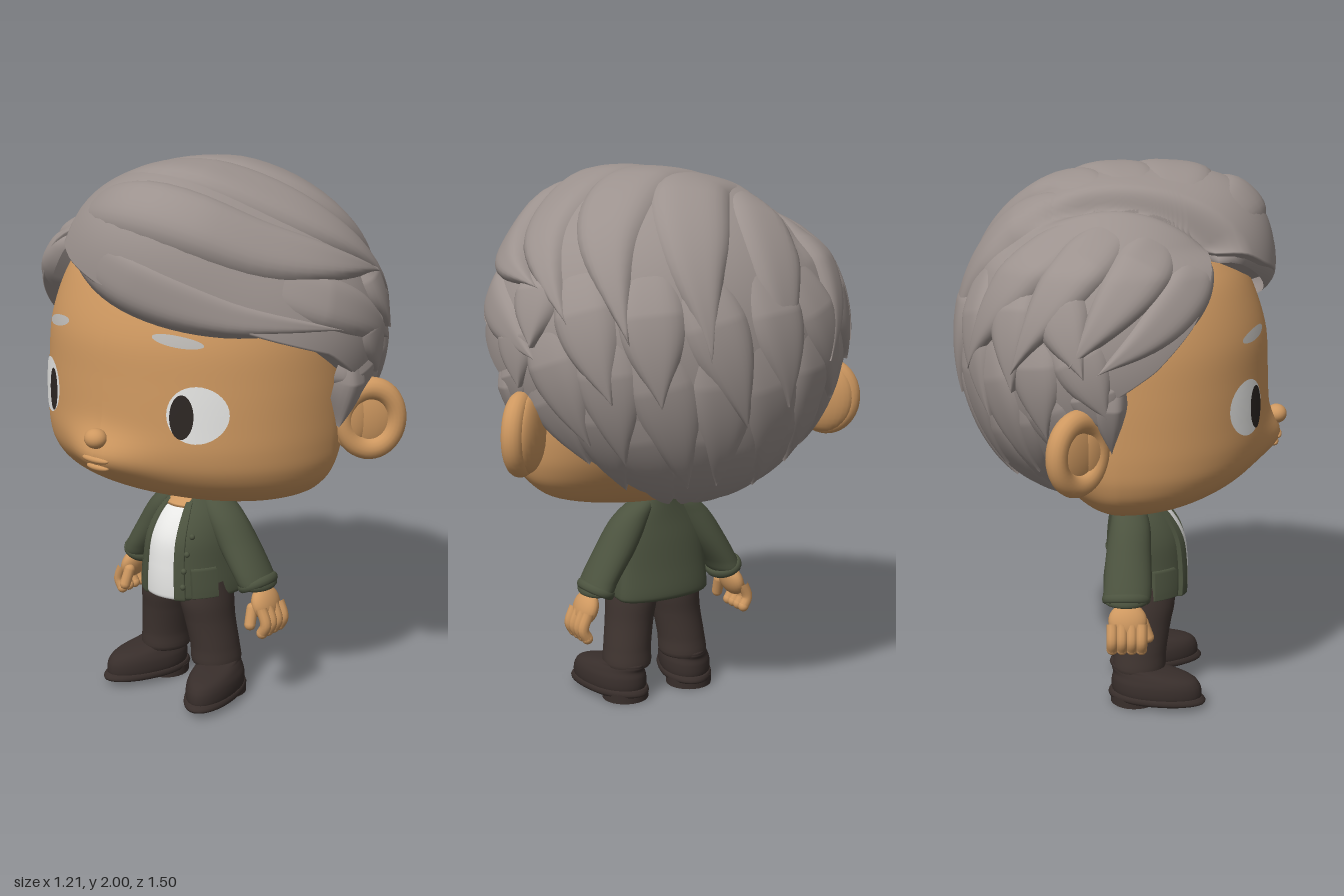
import * as THREE from 'three';
import { ParametricGeometry } from 'three/addons/geometries/ParametricGeometry.js';

const mat = (name, color, side = THREE.FrontSide) => {
  const m = new THREE.MeshStandardMaterial({ color, side });
  m.name = name;
  return m;
};
const skin = mat('skin', 0xce9860), hairMat = mat('grey hair', 0x9c928e, THREE.DoubleSide);
const green = mat('green jacket', 0x4c533f, THREE.DoubleSide), brown = mat('brown trousers', 0x3f3430);
const leather = mat('dark leather', 0x382e2b), white = mat('white', 0xe8e8e6, THREE.DoubleSide);
const dark = mat('dark pupil', 0x2d2724, THREE.DoubleSide), browMat = mat('brow grey', 0xbcb9b5, THREE.DoubleSide);

const rad = THREE.MathUtils.degToRad;
const step = THREE.MathUtils.smoothstep;

// Smooth stack of ovals; rows are [y, half width, front depth, back depth, centre x, centre z]
function stack(rows) {
  const values = rows.flatMap(r => [r[0], r[1], r[2], r[3], r[4] || 0, r[5] || 0]);
  const curve = new THREE.CubicInterpolant(rows.map((_, i) => i), values, 6);
  const row = v => curve.evaluate(v * (rows.length - 1));
  const point = (a, v, out = 0, target = new THREE.Vector3()) => {
    const [y, w, f, b, cx, cz] = row(v);
    const c = Math.cos(a);
    return target.set(cx + (w + out) * Math.sin(a), y, cz + c * ((c > 0 ? f : b) + out));
  };
  // Front depth at a given x and height
  const frontZ = (x, y) => {
    let lo = 0, hi = 1;
    for (let i = 0; i < 30; i++) {
      const m = (lo + hi) / 2;
      if (row(m)[0] < y) lo = m; else hi = m;
    }
    const r = row(lo);
    return r[2] * Math.sqrt(Math.max(0, 1 - (x / r[1]) ** 2));
  };
  const geometry = (n = 40, m = 30) =>
    new ParametricGeometry((u, v, t) => point(u * Math.PI * 2, v, 0, t), n, m);
  // Panel lying just outside the surface, with its rim sunk in
  const panel = (a0, a1, v0, v1, out) => new ParametricGeometry((u, v, t) => {
    const rim = Math.min(1, 12 * Math.min(u, 1 - u, v, 1 - v));
    return point(rad(a0 + (a1 - a0) * u), v0 + (v1 - v0) * v, out * (2 * rim - 1), t);
  }, 24, 24);
  return { geometry, frontZ, panel };
}

// Hair surface: an ellipsoid with a raised fringe, a parting groove and a full nape
const centre = new THREE.Vector3(0, 1.41, -0.03), radii = new THREE.Vector3(0.672, 0.564, 0.55);
const fringeDir = new THREE.Vector3(0.12, 0.66, 0.74).normalize();
const napeDir = new THREE.Vector3(0, -0.86, -0.5).normalize();
const dirOf = (az, polar) => new THREE.Vector3().setFromSphericalCoords(1, rad(polar), rad(az));
function hairPoint(d, k, target) {
  const near = (q, s) => Math.exp(-2 * (1 - d.dot(q)) / (s * s));
  const high = step(d.y, 0.45, 0.65);
  const part = Math.exp(-(((d.x + 0.45) / 0.055) ** 2)) * high * step(d.z, -0.6, -0.15);
  const low = step(-d.x, 0.33, 0.48) * high;
  const r = 1 + 0.23 * near(fringeDir, 0.47) * (1 - low) + 0.12 * near(napeDir, 0.62) - 0.07 * part - 0.035 * low;
  return target.copy(d).multiplyScalar(r * k).multiply(radii).add(centre);
}

// Hairline: azimuth from the front (degrees), angle down from the crown
const line = [[0, 71], [30, 78], [55, 86], [75, 92], [90, 102], [105, 109], [120, 130], [140, 148], [180, 160],
  [220, 148], [240, 130], [255, 109], [270, 102], [285, 92], [300, 78], [312, 62], [320, 50], [332, 58], [345, 65], [360, 71]];
function hairline(az) {
  const a = ((az % 360) + 360) % 360;
  const i = Math.max(1, line.findIndex(p => p[0] >= a));
  const [p, q] = [line[i - 1], line[i]];
  return p[1] + (q[1] - p[1]) * (a - p[0]) / (q[0] - p[0]);
}

function capGeometry() {
  return new ParametricGeometry((u, v, t) => {
    const az = 180 - u * 360;
    const d = dirOf(az, 0.5 + Math.min(v / 0.92, 1) * (hairline(az) - 0.5));
    hairPoint(d, v > 0.92 ? 1 - 0.16 * (v - 0.92) / 0.08 : 1, t);
  }, 160, 80);
}

// Pointed leaf of hair following directions [azimuth, polar]
function lockGeometry(path, width, lift) {
  const curve = new THREE.CatmullRomCurve3(path.map(p => dirOf(...p)));
  return new ParametricGeometry((t, v, target) => {
    const s = v * 2 - 1;
    const d = curve.getPoint(t).normalize();
    const side = d.clone().cross(curve.getTangent(t)).normalize();
    const w = width * (0.6 + 0.4 * Math.sin(Math.PI * t)) * (1 - t ** 4);
    d.addScaledVector(side, w * s).normalize();
    hairPoint(d, 0.93 + (0.07 + lift) * (1 - s ** 4) * Math.min(1, 0.4 + 1.5 * t), target);
  }, 26, 14);
}

export function createModel() {
  const model = new THREE.Group();
  const body = new THREE.Group();
  body.name = 'figure';
  body.rotation.y = -Math.PI / 2; // the figure looks towards -x
  model.add(body);
  const add = (name, geometry, material, parent = body) => {
    const m = new THREE.Mesh(geometry, material);
    m.name = name;
    parent.add(m);
    return m;
  };
  const ball = (name, material, pos, scale, parent) => {
    const m = add(name, new THREE.SphereGeometry(1, 24, 16), material, parent);
    m.position.set(...pos);
    m.scale.set(...scale);
    return m;
  };

  // Head, with the mouth area pushed gently forward
  const head = stack([[0.79, 0.01, 0.01, 0.01], [0.8, 0.26, 0.16, 0.1], [0.84, 0.45, 0.32, 0.17], [0.9, 0.535, 0.44, 0.24],
    [0.97, 0.57, 0.505, 0.3], [1.05, 0.58, 0.53, 0.35], [1.15, 0.58, 0.53, 0.39], [1.28, 0.575, 0.525, 0.42],
    [1.42, 0.56, 0.515, 0.42], [1.55, 0.52, 0.475, 0.4], [1.65, 0.46, 0.425, 0.36], [1.73, 0.36, 0.35, 0.3],
    [1.785, 0.18, 0.19, 0.16], [1.79, 0.01, 0.01, 0.01]]);
  const headGeometry = head.geometry(96, 72);
  const hp = headGeometry.attributes.position;
  for (let i = 0; i < hp.count; i++) {
    const z = hp.getZ(i);
    if (z > 0) hp.setZ(i, z + 0.055 * Math.exp(-((hp.getX(i) / 0.16) ** 2) - ((hp.getY(i) - 1.01) / 0.08) ** 2));
  }
  headGeometry.computeVertexNormals();
  add('head', headGeometry, skin);
  ball('nose', skin, [0, 1.085, 0.564], [0.042, 0.035, 0.038]);
  ball('upper lip', skin, [0, 1.012, 0.567], [0.06, 0.014, 0.018]);
  ball('lower lip', skin, [0, 0.982, 0.556], [0.05, 0.014, 0.018]);

  // Flat oval laid on the face
  const decal = (name, material, x, y, rx, ry, tilt, out) => {
    const g = new THREE.RingGeometry(0.001, 1, 36, 5);
    const p = g.attributes.position;
    for (let i = 0; i < p.count; i++) {
      const a = p.getX(i) * rx, b = p.getY(i) * ry;
      const px = x + a, py = y + b + a * tilt;
      p.setXYZ(i, px + out * px, py, head.frontZ(px, py) + out);
    }
    g.computeVertexNormals();
    add(name, g, material);
  };

  for (const s of [1, -1]) {
    decal('eye', white, s * 0.335, 1.197, 0.088, 0.098, 0, 0.006);
    decal('pupil', dark, s * 0.294, 1.19, 0.036, 0.076, 0, 0.009);
    decal('eyebrow', browMat, s * 0.268, 1.442, 0.08, 0.019, -s * 0.15, 0.009);

    // Ears
    const ear = new THREE.Group();
    ear.name = 'ear';
    ear.position.set(s * 0.645, 1.12, -0.14);
    ear.rotation.y = s * Math.PI / 4;
    body.add(ear);
    const rim = add('ear rim', new THREE.TorusGeometry(0.102, 0.038, 16, 40), skin, ear);
    rim.scale.set(0.92, 1.06, 1);
    ball('ear back', skin, [-s * 0.01, 0, -0.025], [0.115, 0.135, 0.048], ear);
    ball('ear fold', skin, [-s * 0.07, 0, 0], [0.065, 0.11, 0.03], ear);
  }

  // Hair
  const hair = new THREE.Group();
  hair.name = 'hair';
  body.add(hair);
  add('hair cap', capGeometry(), hairMat, hair);
  // Each row: start angle, reach towards the hairline, lift, count, half spread
  const rows = [[92, 1, 0.015, 11, 84], [74, 0.72, 0.03, 10, 80], [56, 0.5, 0.045, 8, 72]];
  for (const [start, reach, lift, n, spread] of rows) {
    for (let i = 0; i < n; i++) {
      const az = 180 - spread + 2 * spread * i / (n - 1);
      const end = start + (hairline(az) + 7 - start) * reach + (i % 2) * 5;
      const lean = i % 2 ? 9 : 3;
      add('short lock', lockGeometry([[az - lean, start], [az, (start + end) / 2], [az + lean, end]], 0.23, lift), hairMat, hair);
    }
  }
  const longLocks = [
    [[[-36, 50], [5, 67], [38, 77], [80, 84]], 0.18, 0.015],
    [[[40, 62], [70, 72], [95, 82], [112, 92]], 0.22, 0.03],
    [[[-36, 46], [5, 46], [50, 54], [82, 61], [111, 69]], 0.24, 0.05],
    [[[-55, 36], [20, 22], [90, 45], [124, 80]], 0.3, 0.045],
    [[[-75, 30], [90, 6], [128, 45], [143, 86]], 0.3, 0.045],
    [[[-100, 28], [180, 20], [164, 55], [166, 92]], 0.28, 0.05],
    [[[-115, 32], [-150, 38], [-166, 65], [-170, 98]], 0.27, 0.04],
    [[[-46, 52], [-58, 64], [-75, 78], [-95, 92]], 0.2, 0.03],
    [[[-62, 42], [-80, 60], [-104, 90]], 0.24, 0.045],
    [[[-85, 37], [-105, 58], [-125, 94]], 0.24, 0.05],
    [[[-105, 36], [-130, 62], [-149, 97]], 0.24, 0.05]];
  for (const [path, w, lift] of longLocks) add('long lock', lockGeometry(path, w, lift), hairMat, hair);
  for (const s of [1, -1]) {
    add('sideburn', lockGeometry([[s * 90, 94], [s * 91, 107], [s * 90, 122]], 0.12, 0.03), hairMat, hair);
  }

  // Torso and open jacket
  const torso = stack([[0.39, 0.15, 0.2, 0.05], [0.4, 0.185, 0.235, 0.07], [0.43, 0.19, 0.242, 0.075], [0.52, 0.18, 0.24, 0.065],
    [0.62, 0.168, 0.225, 0.055], [0.7, 0.14, 0.18, 0.045], [0.77, 0.09, 0.11, 0.04], [0.81, 0.07, 0.06, 0.04]]);
  add('jacket', torso.geometry(), green);
  add('shirt', torso.panel(-24, 24, 0.1, 0.82, 0.005), white);
  add('open collar', torso.panel(-30, 30, 0.76, 1, 0.008), skin);
  const neck = add('neck', new THREE.CylinderGeometry(0.052, 0.052, 0.12, 24), skin);
  neck.position.set(0, 0.8, 0.03);

  for (const s of [1, -1]) {
    add('jacket front', torso.panel(s * 25 - 6, s * 25 + 6, 0.1, 0.86, 0.016), green);
    add('pocket', torso.panel(s * 50 - 15, s * 50 + 15, 0.2, 0.44, 0.013), green);

    // Sleeve and cuff
    add('sleeve', stack([[0.795, 0.01, 0.01, 0.01, s * 0.06, 0.02], [0.765, 0.05, 0.05, 0.05, s * 0.083, 0.02],
      [0.7, 0.073, 0.08, 0.065, s * 0.132, 0.02], [0.6, 0.075, 0.085, 0.08, s * 0.195, 0.02],
      [0.5, 0.066, 0.087, 0.087, s * 0.26, 0.02], [0.455, 0.06, 0.082, 0.082, s * 0.283, 0.015],
      [0.44, 0.03, 0.04, 0.04, s * 0.286, 0.015]].reverse()).geometry(28, 24), green);
    const cuff = add('cuff', new THREE.TorusGeometry(0.06, 0.011, 10, 30), green);
    cuff.rotation.set(Math.PI / 2, s * 0.45, 0);
    cuff.scale.set(0.95, 1.25, 1.6);
    cuff.position.set(s * 0.281, 0.462, 0.015);

    // Hand with fingers and thumb
    ball('palm', skin, [s * 0.322, 0.395, 0.02], [0.037, 0.065, 0.07]).rotation.z = s * 0.35;
    for (let i = 0; i < 4; i++) {
      const z = -0.035 + i * 0.035;
      const curve = new THREE.CatmullRomCurve3([new THREE.Vector3(s * 0.34, 0.39, z), new THREE.Vector3(s * 0.362, 0.33, z),
        new THREE.Vector3(s * 0.345, 0.295, z)]);
      add('finger', new THREE.TubeGeometry(curve, 10, 0.021, 10), skin);
      ball('fingertip', skin, [s * 0.345, 0.295, z], [0.021, 0.021, 0.021]);
    }
    const thumb = add('thumb', new THREE.CapsuleGeometry(0.021, 0.06, 6, 12), skin);
    thumb.position.set(s * 0.305, 0.355, 0.085);
    thumb.rotation.set(-0.35, 0, s * 0.1);

    // Trouser leg
    add('trouser leg', stack([[0.125, 0.06, 0.07, 0.07, s * 0.125, 0.06], [0.13, 0.09, 0.1, 0.095, s * 0.125, 0.06],
      [0.2, 0.089, 0.1, 0.095, s * 0.12, 0.065], [0.3, 0.09, 0.105, 0.1, s * 0.105, 0.075],
      [0.38, 0.094, 0.115, 0.11, s * 0.094, 0.08], [0.46, 0.085, 0.11, 0.11, s * 0.09, 0.08]]).geometry(30, 20), brown);

    // Shoe
    const shoe = new THREE.Group();
    shoe.name = 'shoe';
    shoe.position.set(s * 0.13, 0, 0);
    shoe.rotation.y = s * 0.28;
    body.add(shoe);
    add('shoe upper', stack([[0.025, 0.085, 0.2, 0.13, 0, 0.1], [0.055, 0.094, 0.207, 0.14, 0, 0.1], [0.09, 0.092, 0.2, 0.14, 0, 0.1],
      [0.115, 0.082, 0.175, 0.135, 0, 0.1], [0.132, 0.072, 0.12, 0.13, 0, 0.09], [0.145, 0.06, 0.05, 0.1, 0, 0.07],
      [0.146, 0.01, 0.01, 0.01, 0, 0.06]]).geometry(32, 24), leather, shoe);
    add('sole', stack([[0.018, 0.01, 0.01, 0.01, 0, 0.1], [0.019, 0.088, 0.204, 0.14, 0, 0.1], [0.045, 0.096, 0.212, 0.148, 0, 0.1],
      [0.05, 0.07, 0.18, 0.12, 0, 0.1]]).geometry(32, 12), leather, shoe);
    const heel = add('heel', new THREE.CylinderGeometry(0.088, 0.088, 0.035, 28), leather, shoe);
    heel.position.set(0, 0.0175, 0.045);
  }
  for (let i = 0; i < 4; i++) ball('button', green, [0.1, 0.46 + i * 0.06, 0.228 - i * i * 0.006], [0.011, 0.011, 0.01]);
  return model;
}
